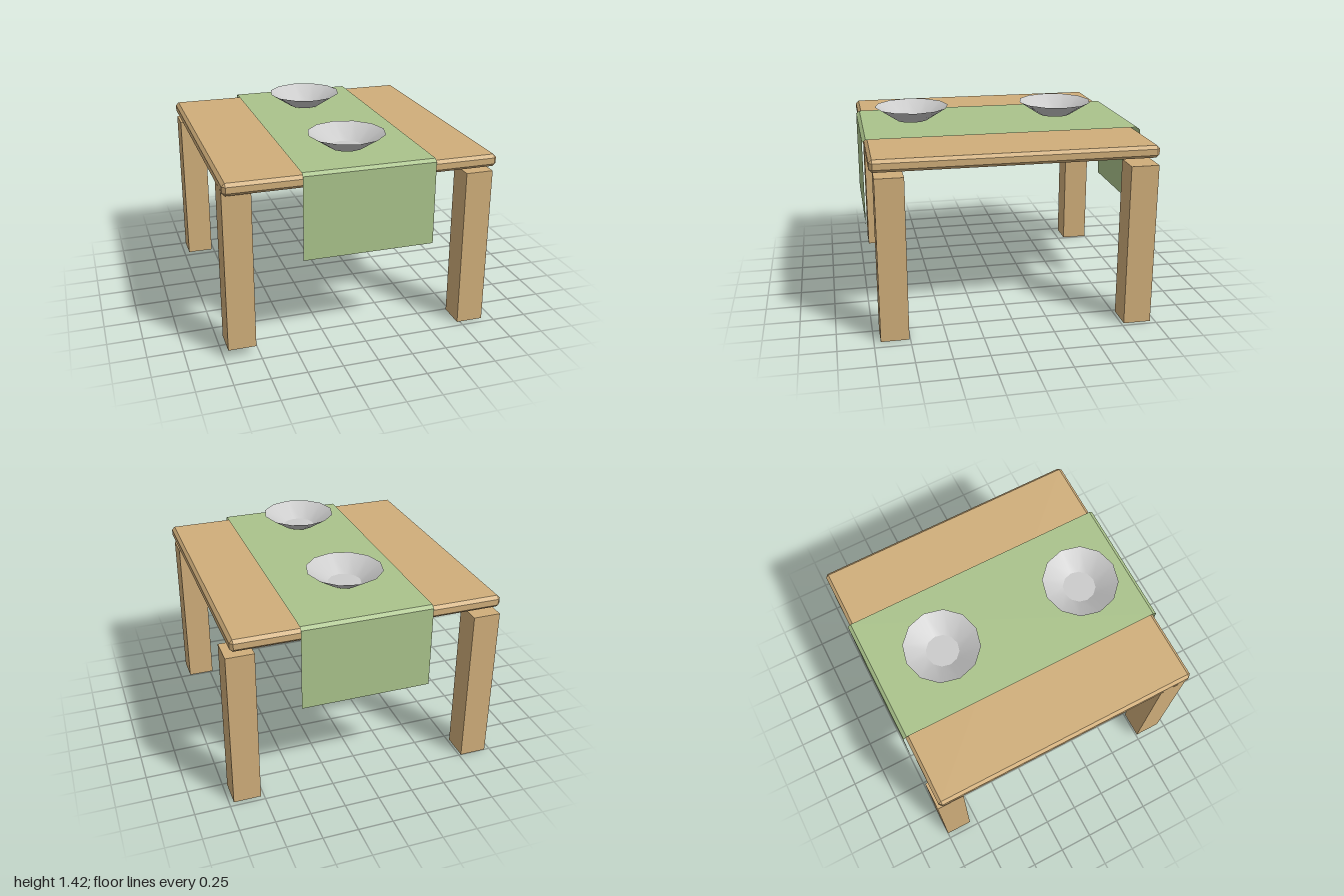
import * as THREE from 'three';
import { ConvexGeometry } from 'three/addons/geometries/ConvexGeometry.js';

const wood = new THREE.MeshStandardMaterial({ color: 0xd0ae7a, flatShading: true });
const fabric = new THREE.MeshStandardMaterial({ color: 0xaac38b, flatShading: true, side: THREE.DoubleSide });
const grey = new THREE.MeshStandardMaterial({ color: 0xcccccc, side: THREE.DoubleSide });

function addMesh(parent, name, geometry, material, x = 0, y = 0, z = 0) {
  const mesh = new THREE.Mesh(geometry, material);
  mesh.name = name;
  mesh.position.set(x, y, z);
  parent.add(mesh);
  return mesh;
}

// Box with every edge and corner chamfered by c
function chamferedBox(w, h, d, c) {
  const points = [];
  for (const sx of [-1, 1]) for (const sy of [-1, 1]) for (const sz of [-1, 1]) {
    const [x, y, z] = [w / 2, h / 2, d / 2];
    points.push(
      new THREE.Vector3(sx * x, sy * (y - c), sz * (z - c)),
      new THREE.Vector3(sx * (x - c), sy * y, sz * (z - c)),
      new THREE.Vector3(sx * (x - c), sy * (y - c), sz * z));
  }
  return new ConvexGeometry(points);
}

// Strip of cloth following a [z, y] profile from the back hem to the front hem
function clothStrip(width, profile) {
  const geometry = new THREE.PlaneGeometry(width, 1, 1, profile.length - 1);
  const pos = geometry.attributes.position;
  for (let i = 0; i < pos.count; i++) {
    const [z, y] = profile[Math.floor(i / 2)];
    pos.setXYZ(i, pos.getX(i), y, z);
  }
  const flat = geometry.toNonIndexed();
  flat.computeVertexNormals();
  return flat;
}

// Shallow twelve-sided bowl with a flat base
function addBowl(parent, name, x, z, turn) {
  const bowl = new THREE.Group();
  bowl.name = name;
  bowl.position.set(x, 1.325, z);
  bowl.rotation.y = turn;
  addMesh(bowl, 'bowlWall', new THREE.CylinderGeometry(0.272, 0.118, 0.1, 12, 1, true), grey, 0, 0.05, 0);
  const base = new THREE.CircleGeometry(0.118, 12).rotateX(-Math.PI / 2);
  addMesh(bowl, 'bowlBase', base, grey);
  parent.add(bowl);
}

export function createModel() {
  const model = new THREE.Group();
  model.name = 'diningTable';

  addMesh(model, 'tabletop', chamferedBox(1.905, 0.087, 1.965, 0.022), wood, -0.0175, 1.2455, 0);

  // Legs, each set a little differently under its corner: x, bottom, z
  const legs = {
    frontLeftLeg: [0.825, 0, 0.855],
    backLeftLeg: [0.87, 0, -0.867],
    frontRightLeg: [-0.873, 0.067, 0.84],
    backRightLeg: [-0.863, 0, -0.902],
  };
  for (const [name, [x, bottom, z]] of Object.entries(legs)) {
    addMesh(model, name, new THREE.BoxGeometry(0.195, 1.163, 0.196), wood, x, bottom + 0.5815, z);
  }

  // Runner draped over the front and back edges
  const profile = [[-1, 0.697], [-1, 1.29], [-0.975, 1.31], [0.975, 1.31], [1, 1.29], [1, 0.697]];
  addMesh(model, 'tableRunner', clothStrip(0.927, profile), fabric, 0.012, 0, 0);

  addBowl(model, 'backBowl', -0.01, -0.484, 0.03);
  addBowl(model, 'frontBowl', -0.025, 0.605, 0.02);

  return model;
}
